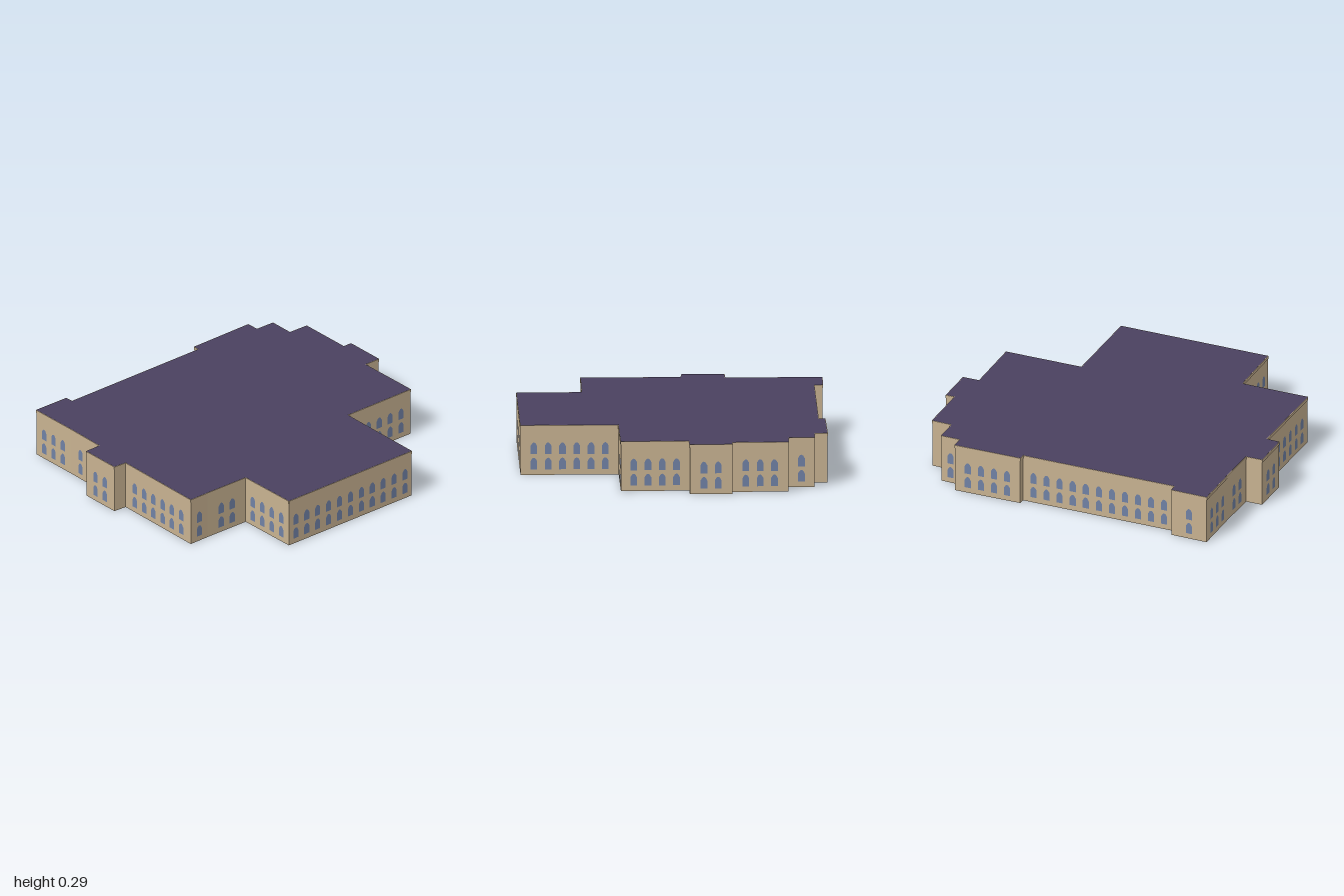
import * as THREE from 'three';

const HEIGHT = 0.287, PITCH = 0.081;

// Footprint corners [x, z], clockwise from above, with the window count of the wall that starts there
const PLAN = [
  [-0.425, -1.0, 3], [-0.108, -0.947, 0], [-0.1, -1.0, 2], [0.137, -0.96, 0],
  [0.12, -0.862, 4], [0.503, -0.8, 5], [0.422, -0.34, 6], [0.97, -0.245, 11],
  [0.81, 0.65, 4], [0.444, 0.592, 2], [0.392, 0.87, 1], [0.372, 0.992, 6],
  [-0.19, 0.892, 0], [-0.208, 0.97, 2], [-0.446, 0.93, 0], [-0.43, 0.832, 2],
  [-0.68, 0.785, 3], [-0.973, 0.737, 1], [-0.932, 0.523, 0], [-0.884, 0.53, 11],
  [-0.72, -0.397, 0], [-0.757, -0.405, 4], [-0.69, -0.802, 0], [-0.617, -0.79, 1],
  [-0.594, -0.905, 1], [-0.449, -0.88, 0],
];

export function createModel() {
  const stone = new THREE.MeshStandardMaterial({ color: 0xc8b291, side: THREE.DoubleSide });
  stone.name = 'sandstone';
  const purple = new THREE.MeshStandardMaterial({ color: 0x4a4160, side: THREE.DoubleSide });
  purple.name = 'roofPurple';
  const blue = new THREE.MeshStandardMaterial({ color: 0x7081a5 });
  blue.name = 'windowBlue';

  const model = new THREE.Group();
  model.name = 'building';

  // Window pane with a narrowed arched head
  const pane = new THREE.Shape();
  pane.moveTo(-0.019, 0);
  pane.lineTo(0.019, 0);
  pane.lineTo(0.019, 0.047);
  pane.lineTo(0.011, 0.061);
  pane.quadraticCurveTo(0, 0.074, -0.011, 0.061);
  pane.lineTo(-0.019, 0.047);
  const paneGeometry = new THREE.ShapeGeometry(pane, 4);

  // One wall at a time, each in its own frame with +z facing out
  PLAN.forEach(([x, z, count], i) => {
    const [x2, z2] = PLAN[(i + 1) % PLAN.length];
    const length = Math.hypot(x2 - x, z2 - z);
    const side = new THREE.Group();
    side.name = 'facade' + (i + 1);
    side.position.set((x + x2) / 2, 0, (z + z2) / 2);
    side.rotation.y = Math.atan2(z2 - z, x - x2);

    const wall = new THREE.Mesh(new THREE.PlaneGeometry(length, HEIGHT), stone);
    wall.name = 'wall';
    wall.position.y = HEIGHT / 2;
    side.add(wall);

    // Slim band under the roof edge
    const cornice = new THREE.Mesh(new THREE.BoxGeometry(length, 0.018, 0.003), stone);
    cornice.name = 'cornice';
    cornice.position.set(0, HEIGHT - 0.0095, 0.0016);
    side.add(cornice);

    // Two storeys of evenly spaced windows
    for (const y of [0.032, 0.12]) {
      for (let k = 0; k < count; k++) {
        const win = new THREE.Mesh(paneGeometry, blue);
        win.name = 'window';
        win.position.set((k - (count - 1) / 2) * PITCH, y, 0.002);
        side.add(win);
      }
    }
    model.add(side);
  });

  // Flat roof; the underside stays open
  const outline = new THREE.Shape(PLAN.map(([x, z]) => new THREE.Vector2(x, -z)));
  const roof = new THREE.Mesh(new THREE.ShapeGeometry(outline).rotateX(-Math.PI / 2), purple);
  roof.name = 'roof';
  roof.position.y = HEIGHT;
  model.add(roof);

  return model;
}
